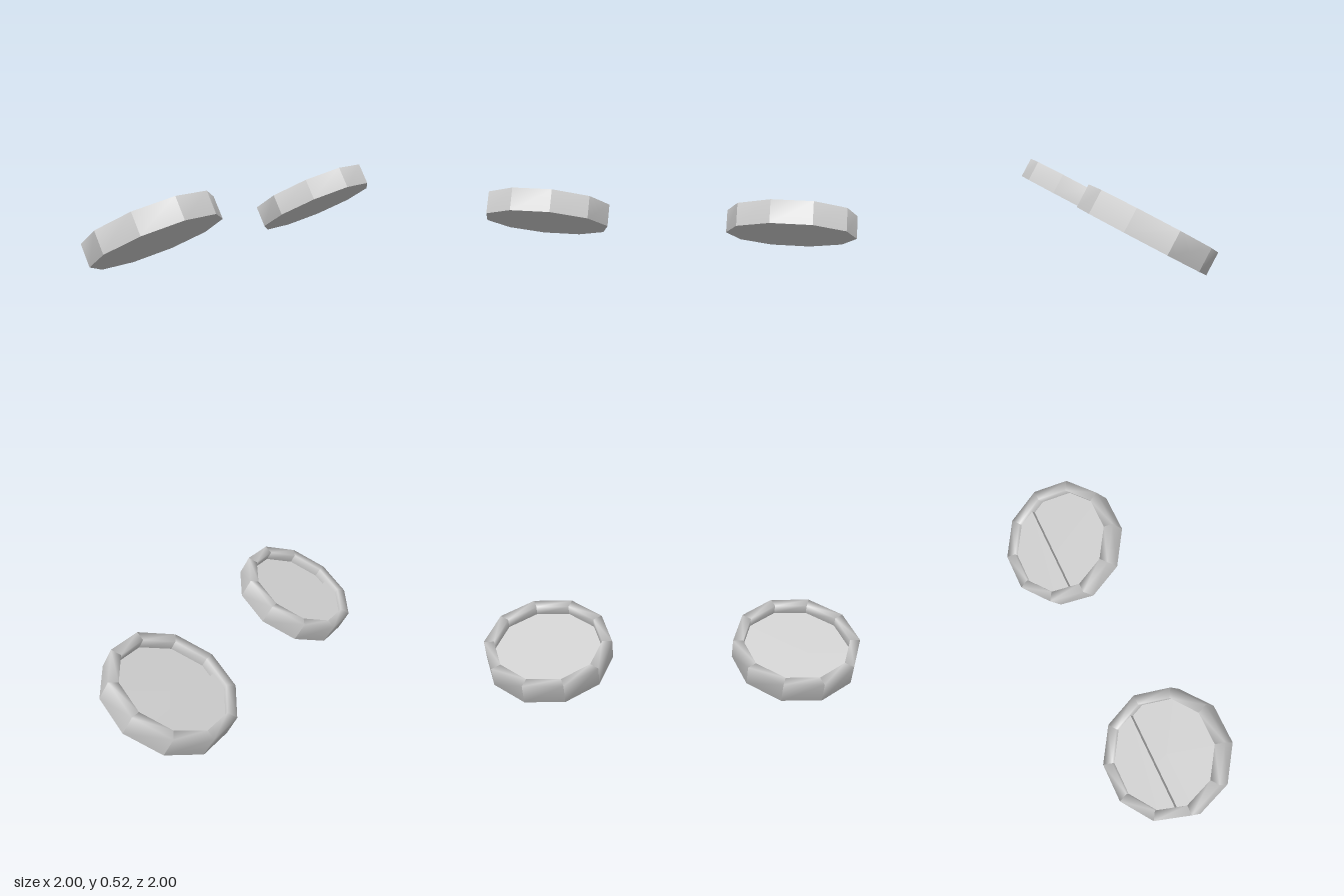
import * as THREE from 'three';
import { mergeGeometries } from 'three/addons/utils/BufferGeometryUtils.js';

const SIDES = 10, R = 0.4216, INNER = 0.355, H = 0.148;
const FLOOR = H - 0.066, LEDGE = H - 0.032, CHORD = 0.092;
const TILT = THREE.MathUtils.degToRad(29.1);
const STEP = (Math.PI * 2) / SIDES;

// One straight rim segment: outer wall, top and inner wall, smooth across its profile
function rimSegment(i) {
  const profile = [[R, 0], [R, H], [INNER, H], [INNER, FLOOR]];
  const pos = [], index = [];
  profile.forEach(([r, y]) => {
    for (const a of [i * STEP, (i + 1) * STEP]) pos.push(r * Math.cos(a), y, r * Math.sin(a));
  });
  for (let j = 0; j < profile.length - 1; j++) {
    const k = j * 2;
    index.push(k, k + 2, k + 1, k + 1, k + 2, k + 3);
  }
  const g = new THREE.BufferGeometry();
  g.setAttribute('position', new THREE.Float32BufferAttribute(pos, 3));
  g.setIndex(index);
  g.computeVertexNormals();
  return g;
}

// Raised floor part on the lower side, cut off by a straight chord
function ledgeGeometry() {
  const t = CHORD / (INNER * Math.sin(STEP));
  const endX = INNER * (1 - t * (1 - Math.cos(STEP)));
  const pts = [new THREE.Vector2(endX, CHORD)];
  for (let i = 1; i <= 4; i++) {
    pts.push(new THREE.Vector2(INNER * Math.cos(i * STEP), INNER * Math.sin(i * STEP)));
  }
  pts.push(new THREE.Vector2(-endX, CHORD));
  const g = new THREE.ExtrudeGeometry(new THREE.Shape(pts), { depth: LEDGE - FLOOR, bevelEnabled: false });
  return g.rotateX(-Math.PI / 2).translate(0, FLOOR, 0);
}

export function createModel() {
  const model = new THREE.Group();
  model.name = 'dishPair';
  const material = new THREE.MeshStandardMaterial({ color: 0xcccccc });

  const parts = {
    rim: mergeGeometries(Array.from({ length: SIDES }, (_, i) => rimSegment(i))),
    floor: new THREE.CircleGeometry(INNER, SIDES).rotateX(-Math.PI / 2).translate(0, FLOOR, 0),
    ledge: ledgeGeometry(),
    base: new THREE.CircleGeometry(R, SIDES).rotateX(Math.PI / 2),
  };

  // Two identical tilted dishes
  const places = { rightDish: [-0.555, 0.195, 0.605], leftDish: [0.605, 0.195, -0.555] };
  for (const [name, place] of Object.entries(places)) {
    const dish = new THREE.Group();
    dish.name = name;
    for (const [part, geometry] of Object.entries(parts)) {
      const mesh = new THREE.Mesh(geometry, material);
      mesh.name = part;
      dish.add(mesh);
    }
    dish.rotation.set(-TILT, Math.PI / 4, 0, 'YXZ');
    dish.position.set(...place);
    model.add(dish);
  }
  return model;
}
